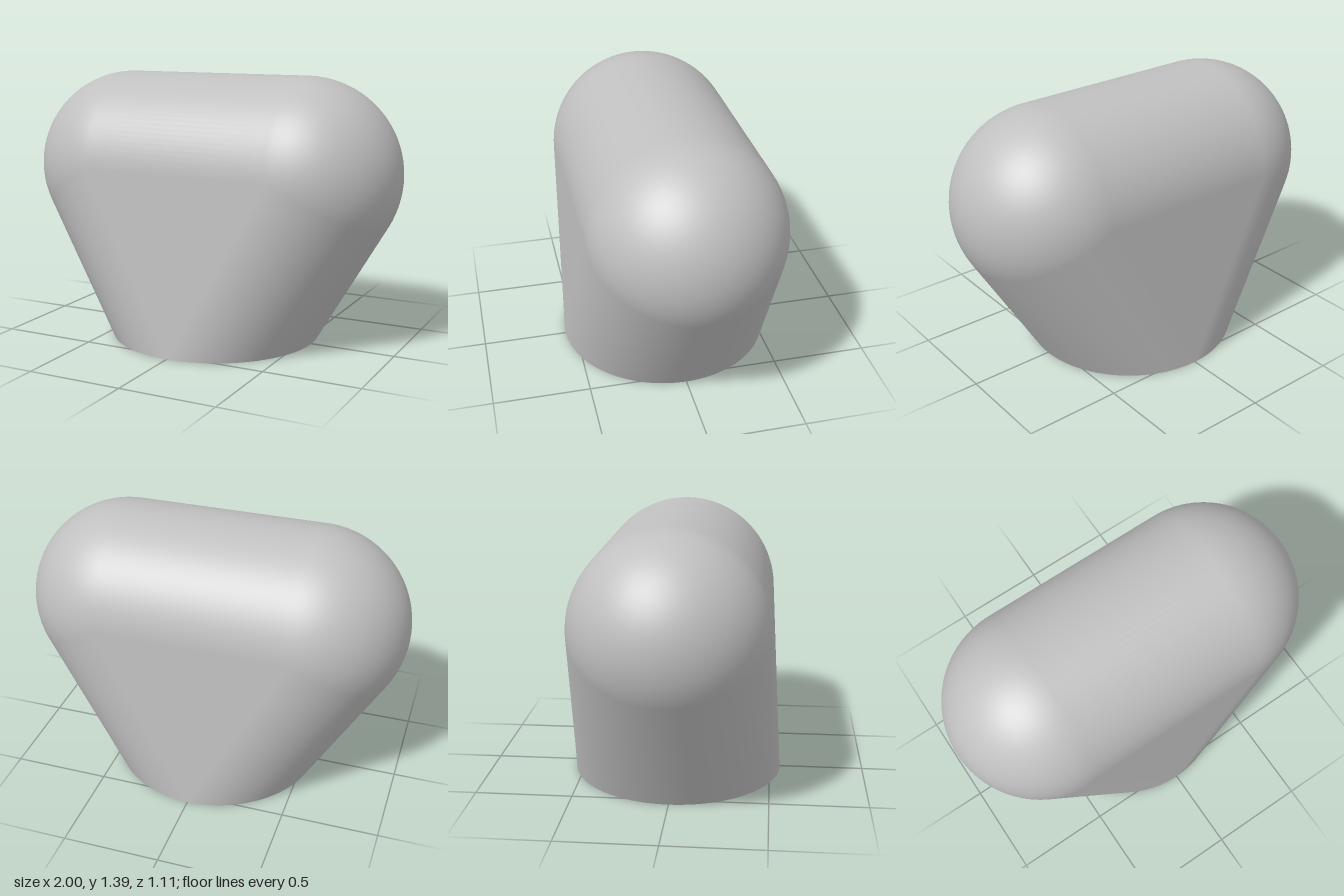
import * as THREE from 'three';

const R = 0.5;        // radius of the rounded grip
const SPAN = 0.5;     // distance of each grip end centre from the middle
const H = 0.89;       // height of the grip axis
const BASE = 0.555;   // radius of the round foot
const BORE = 0.345;   // radius of the socket
const DEPTH = 0.8;    // depth of the socket
const HALF = 48;      // columns around each half
const ROWS = 28;      // rows over the rounded top

// Smooth skin stretched tightly between the foot circle and the capsule-shaped grip
function skinGeometry() {
  const pos = [], nor = [], idx = [];
  const columns = [];
  for (const side of [1, -1]) {
    for (let i = 0; i <= HALF; i++) {
      columns.push([side, (i / HALF - (side > 0 ? 0.5 : -0.5)) * Math.PI]);
    }
  }
  columns.push([1, 1.5 * Math.PI]);

  const stride = ROWS + 2;
  columns.forEach(([side, t], c) => {
    const cx = Math.cos(t), cz = Math.sin(t);
    // slope of the plane touching both the foot and the grip in this direction
    const a = BASE - SPAN * Math.abs(cx);
    const start = Math.acos(R / Math.hypot(a, H)) - Math.atan2(H, a);
    for (let j = -1; j <= ROWS; j++) {
      const phi = start + (Math.PI / 2 - start) * Math.max(j, 0) / ROWS;
      const n = [Math.cos(phi) * cx, Math.sin(phi), Math.cos(phi) * cz];
      if (j < 0) pos.push(BASE * cx, 0, BASE * cz);
      else pos.push(side * SPAN + R * n[0], H + R * n[1], R * n[2]);
      nor.push(...n);
    }
    if (c === columns.length - 1) return;
    for (let j = 0; j < stride - 1; j++) {
      const p = c * stride + j, q = p + stride;
      idx.push(p, p + 1, q + 1, p, q + 1, q);
    }
  });

  const g = new THREE.BufferGeometry();
  g.setAttribute('position', new THREE.Float32BufferAttribute(pos, 3));
  g.setAttribute('normal', new THREE.Float32BufferAttribute(nor, 3));
  g.setIndex(idx);
  return g;
}

export function createModel() {
  const model = new THREE.Group();
  model.name = 'knob';
  const grey = new THREE.MeshStandardMaterial({ color: 0xc0c0c0 });
  grey.name = 'light grey';

  const add = (name, geometry) => {
    const mesh = new THREE.Mesh(geometry, grey);
    mesh.name = name;
    model.add(mesh);
  };

  add('body', skinGeometry());

  // Socket and underside, one turned piece per section so the rims stay sharp
  const profile = [[0, DEPTH], [BORE, DEPTH], [BORE, 0], [BASE, 0]].map(p => new THREE.Vector2(...p));
  ['socketEnd', 'socketWall', 'underside'].forEach((name, i) => {
    add(name, new THREE.LatheGeometry(profile.slice(i, i + 2), HALF * 2));
  });

  return model;
}
